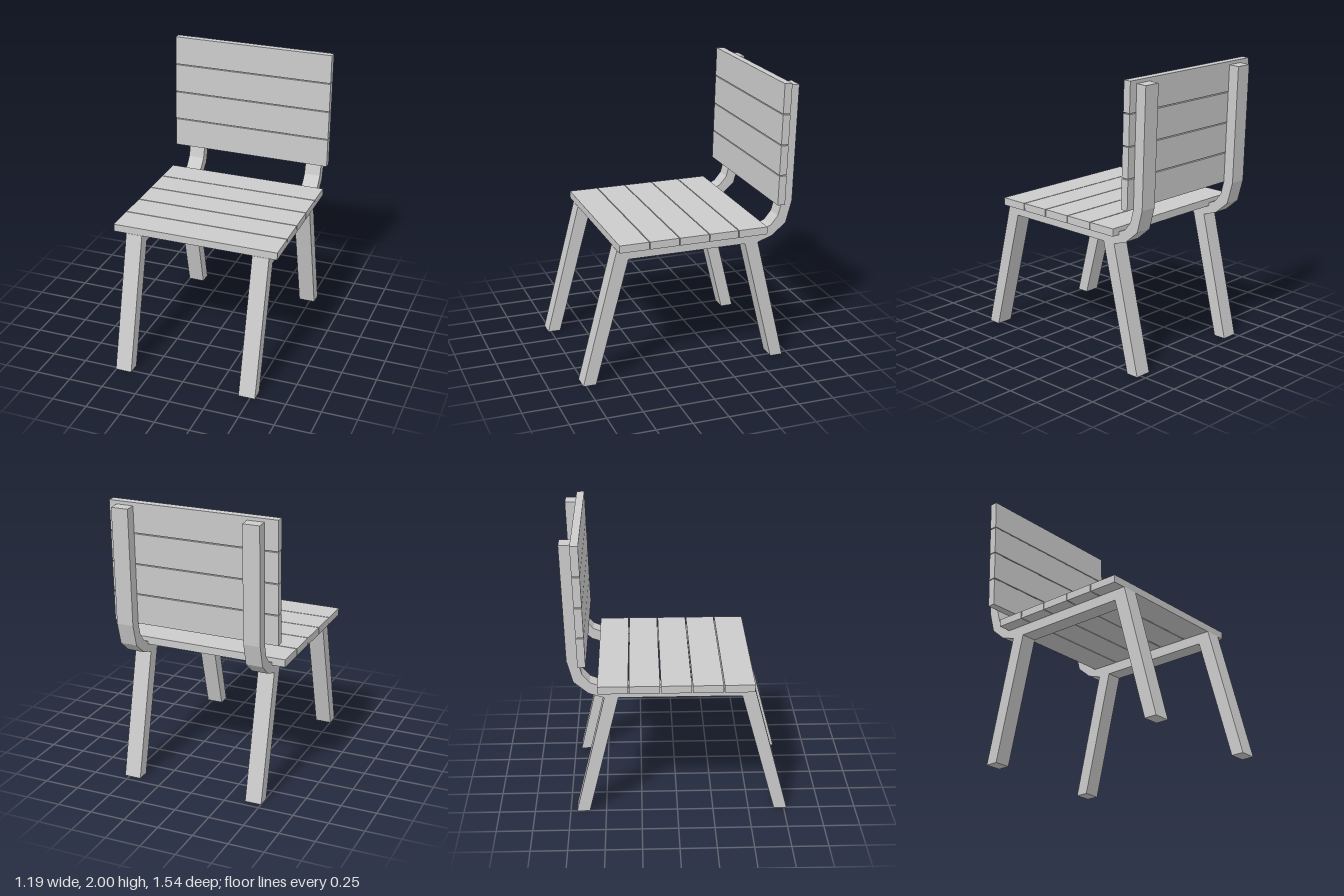
import * as THREE from 'three';

const material = new THREE.MeshStandardMaterial({ color: 0xcccccc, flatShading: true });

// Side outline of one frame as (z, y): legs, seat rail and bent back post in one piece
const FRAME = [
  [0.77, 0], [0.52, 0.957], [-0.47, 0.957], [-0.54, 0.98], [-0.59, 1.0],
  [-0.64, 1.06], [-0.667, 1.16], [-0.69, 1.975], [-0.766, 1.972], [-0.742, 1.16],
  [-0.7, 1.005], [-0.6, 0.92], [-0.495, 0.885], [-0.706, 0], [-0.616, 0],
  [-0.4, 0.885], [0.44, 0.885], [0.68, 0],
];

// Extrude the outline between two x positions
function frame(name, x0, x1) {
  const shape = new THREE.Shape(FRAME.map(([z, y]) => new THREE.Vector2(z, y)));
  const geometry = new THREE.ExtrudeGeometry(shape, { depth: x1 - x0, bevelEnabled: false });
  geometry.rotateY(-Math.PI / 2).translate(x1, 0, 0);
  const mesh = new THREE.Mesh(geometry, material);
  mesh.name = name;
  return mesh;
}

function slat(name, height, depth, y, z, lean = 0) {
  const mesh = new THREE.Mesh(new THREE.BoxGeometry(1.186, height, depth), material);
  mesh.name = name;
  mesh.position.set(-0.002, y, z);
  mesh.rotation.x = lean;
  return mesh;
}

export function createModel() {
  const chair = new THREE.Group();
  chair.name = 'chair';

  chair.add(frame('rightFrame', -0.502, -0.385), frame('leftFrame', 0.416, 0.535));

  // Seat slats, front to back
  const seat = new THREE.Group();
  seat.name = 'seat';
  for (let i = 0; i < 5; i++) {
    seat.add(slat(`seatSlat${i + 1}`, 0.053, 0.206, 0.9835, 0.415 - i * 0.2125));
  }

  // Backrest slats, bottom to top, leaning with the posts
  const backrest = new THREE.Group();
  backrest.name = 'backrest';
  const slope = 0.0284;
  for (let i = 0; i < 4; i++) {
    const y = 1.258 + i * 0.2125;
    const z = -0.637 - slope * (y - 1.155);
    backrest.add(slat(`backSlat${i + 1}`, 0.206, 0.054, y, z, -Math.atan(slope)));
  }

  chair.add(seat, backrest);
  return chair;
}
